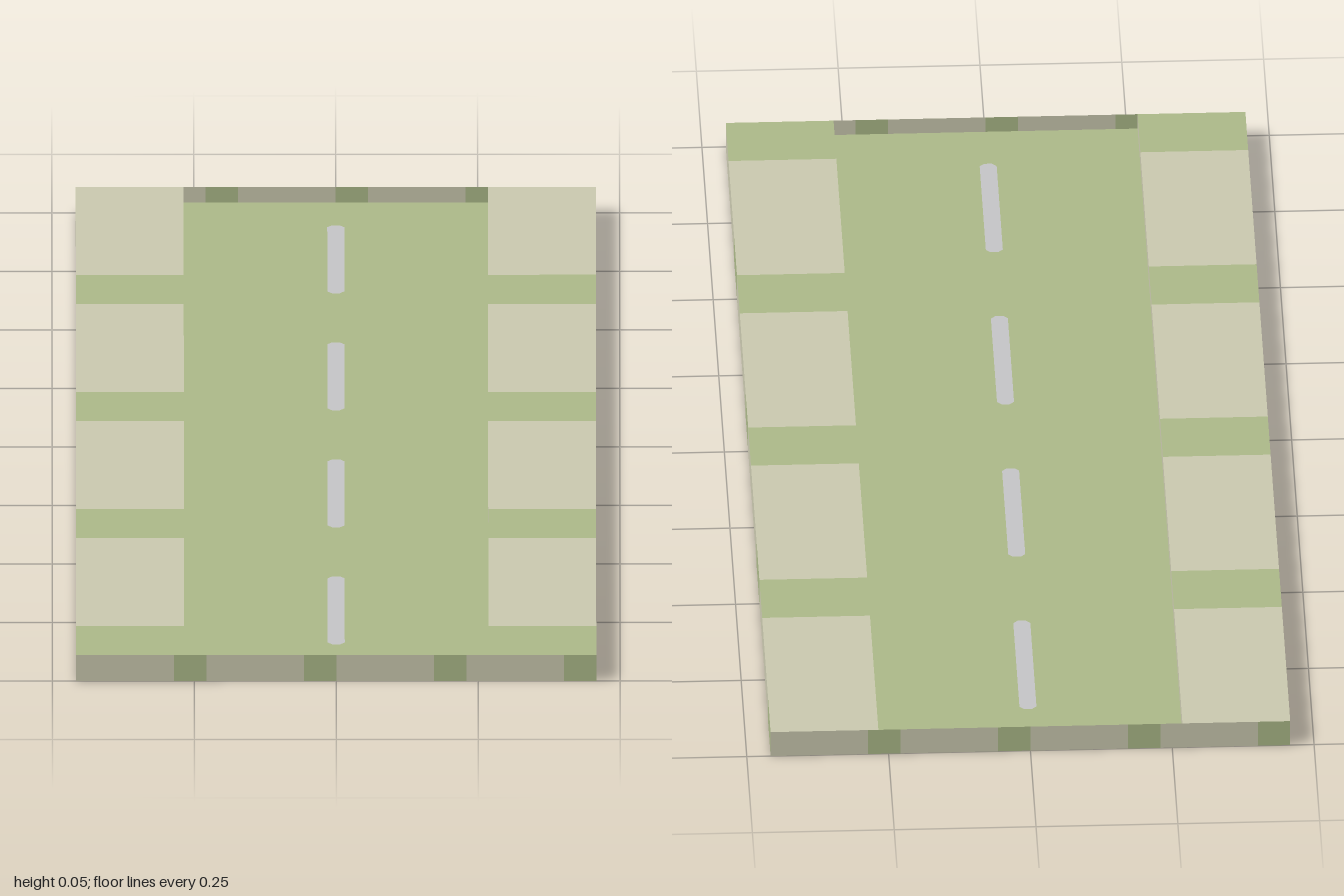
import * as THREE from 'three';

const W = 0.916, H = 0.05, L = 2;   // slab size
const ROAD = 0.536, ROAD_Y = 0.02;  // sunken lane width and height

export function createModel() {
  const group = new THREE.Group();
  group.name = 'roadSegment';

  const material = (name, color, side = THREE.FrontSide) => {
    const m = new THREE.MeshStandardMaterial({ color, side });
    m.name = name;
    return m;
  };
  const tan = material('paleStone', 0xc9c8ae, THREE.DoubleSide);
  const green = material('mossGreen', 0xabb888, THREE.DoubleSide);
  const paint = material('greyPaint', 0xc4c4c6, THREE.DoubleSide);

  const add = (name, geometry, mat, x, y, z) => {
    const mesh = new THREE.Mesh(geometry, mat);
    mesh.name = name;
    mesh.position.set(x, y, z);
    group.add(mesh);
    return mesh;
  };

  // Flat panel with four repeats of three pale cells and one green cell
  const banded = (width, height, tilt, turn) => {
    const g = new THREE.PlaneGeometry(width, height, 16, 1);
    g.clearGroups();
    for (let i = 0; i < 16; i++) g.addGroup(i * 6, 6, i % 4 === 3 ? 1 : 0);
    return g.rotateX(tilt).rotateY(turn);
  };
  const bands = [tan, green];
  const Q = Math.PI / 2;

  // Outer shell
  add('frontEnd', banded(W, H, 0, 0), bands, 0, H / 2, L / 2);
  add('backEnd', banded(W, H, 0, Math.PI), bands, 0, H / 2, -L / 2);
  add('leftSide', banded(L, H, 0, Q), bands, W / 2, H / 2, 0);
  add('rightSide', banded(L, H, 0, -Q), bands, -W / 2, H / 2, 0);
  add('underside', banded(L, W, Q, Q), bands, 0, 0, 0);

  // Raised pavements and the kerbs that face the lane
  const pavement = (W - ROAD) / 2;
  for (const s of [-1, 1]) {
    const side = s > 0 ? 'left' : 'right';
    add(side + 'Pavement', banded(L, pavement, -Q, -Q), bands, s * (ROAD + pavement) / 2, H, 0);
    add(side + 'Kerb', new THREE.PlaneGeometry(L, H - ROAD_Y).rotateY(-s * Q), tan,
      s * ROAD / 2, (H + ROAD_Y) / 2, 0);
  }

  // Sunken lane
  add('roadSurface', new THREE.PlaneGeometry(ROAD, L).rotateX(-Q), green, 0, ROAD_Y, 0);

  // Centre dashes with clipped corners
  const a = 0.015, b = 0.145, c = 0.008;
  const dash = new THREE.Shape([
    [-a, -b + c], [-a + c, -b], [a - c, -b], [a, -b + c],
    [a, b - c], [a - c, b], [-a + c, b], [-a, b - c],
  ].map(([x, y]) => new THREE.Vector2(x, y)));
  const dashGeometry = new THREE.ShapeGeometry(dash).rotateX(-Q);
  for (let i = 0; i < 4; i++) {
    add('laneDash' + (i + 1), dashGeometry, paint, 0, ROAD_Y + 0.002, -0.753 + i * 0.5);
  }

  return group;
}
